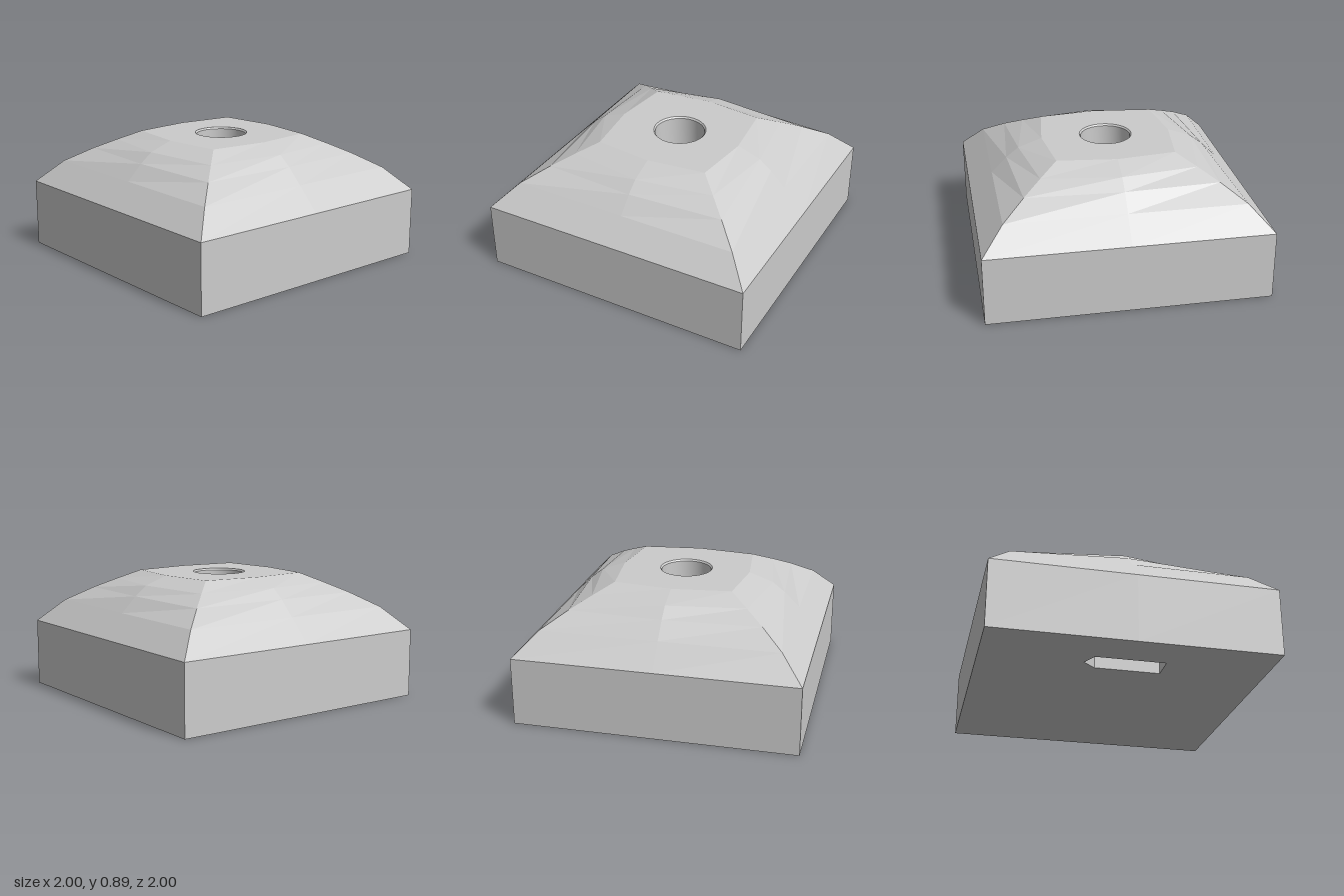
import * as THREE from 'three';
import { toCreasedNormals } from 'three/addons/utils/BufferGeometryUtils.js';

// Skin between stacked rings of [x, y, z] points
function loft(rings) {
  const pos = [];
  for (let r = 0; r < rings.length - 1; r++) {
    const lo = rings[r], hi = rings[r + 1], n = lo.length;
    for (let i = 0; i < n; i++) {
      const j = (i + 1) % n;
      pos.push(...lo[i], ...lo[j], ...hi[j], ...lo[i], ...hi[j], ...hi[i]);
    }
  }
  const g = new THREE.BufferGeometry();
  g.setAttribute('position', new THREE.Float32BufferAttribute(pos, 3));
  g.computeVertexNormals();
  return g;
}

// Eight-point ring: square corners at c, edge midpoints bulging to m
function ring(c, yc, m = c, ym = yc) {
  return [[-c, yc, c], [0, ym, m], [c, yc, c], [m, ym, 0],
    [c, yc, -c], [0, ym, -m], [-c, yc, -c], [-m, ym, 0]];
}

const toShape = (pts) => new THREE.Shape(pts.map(([x, y]) => new THREE.Vector2(x, y)));

export function createModel() {
  const group = new THREE.Group();
  const flat = new THREE.MeshStandardMaterial({ color: 0xcccccc, flatShading: true });
  const smooth = new THREE.MeshStandardMaterial({ color: 0xcccccc });
  const add = (name, geometry, material = flat) => {
    const mesh = new THREE.Mesh(geometry, material);
    mesh.name = name;
    group.add(mesh);
  };

  const topY = 0.895, baseY = 0.49, holeR = 0.19;

  // Square base walls
  add('baseWalls', loft([ring(1, 0), ring(1, baseY)]));

  // Faceted pillow-shaped roof
  const topRing = ring(0.42, topY, 0.47);
  add('roof', loft([
    ring(1, baseY),
    ring(0.84, 0.655),
    ring(0.68, 0.757, 0.73, 0.765),
    ring(0.55, 0.828, 0.64, 0.835),
    topRing,
  ]));

  // Flat top with a round opening
  const top = toShape(topRing.map(([x, , z]) => [x, -z]));
  top.holes.push(new THREE.Path().absarc(0, 0, holeR, 0, Math.PI * 2, true));
  add('topPlate', new THREE.ShapeGeometry(top, 24).rotateX(-Math.PI / 2).translate(0, topY, 0));

  // Blind hole with a slightly chamfered rim
  const profile = [[holeR, topY], [0.18, 0.883], [0.18, 0.6], [0, 0.6]];
  const socket = new THREE.LatheGeometry(profile.map(([x, y]) => new THREE.Vector2(x, y)), 48);
  add('topSocket', toCreasedNormals(socket, 0.5), smooth);

  // Underside with a slot near the front edge
  const slot = [[-0.19, 0.52], [-0.28, 0.595], [-0.225, 0.7], [0.27, 0.7], [0.27, 0.52]];
  const bottom = toShape([[-1, -1], [1, -1], [1, 1], [-1, 1]]);
  bottom.holes.push(new THREE.Path(slot.map(([x, z]) => new THREE.Vector2(x, z))));
  add('underside', new THREE.ShapeGeometry(bottom).rotateX(Math.PI / 2));

  // Slot walls and ceiling, facing into the slot
  const slotY = 0.3;
  const inward = [...slot].reverse();
  add('slotWalls', loft([0, slotY].map((y) => inward.map(([x, z]) => [x, y, z]))));
  add('slotCeiling', new THREE.ShapeGeometry(toShape(slot)).rotateX(Math.PI / 2).translate(0, slotY, 0));

  return group;
}
